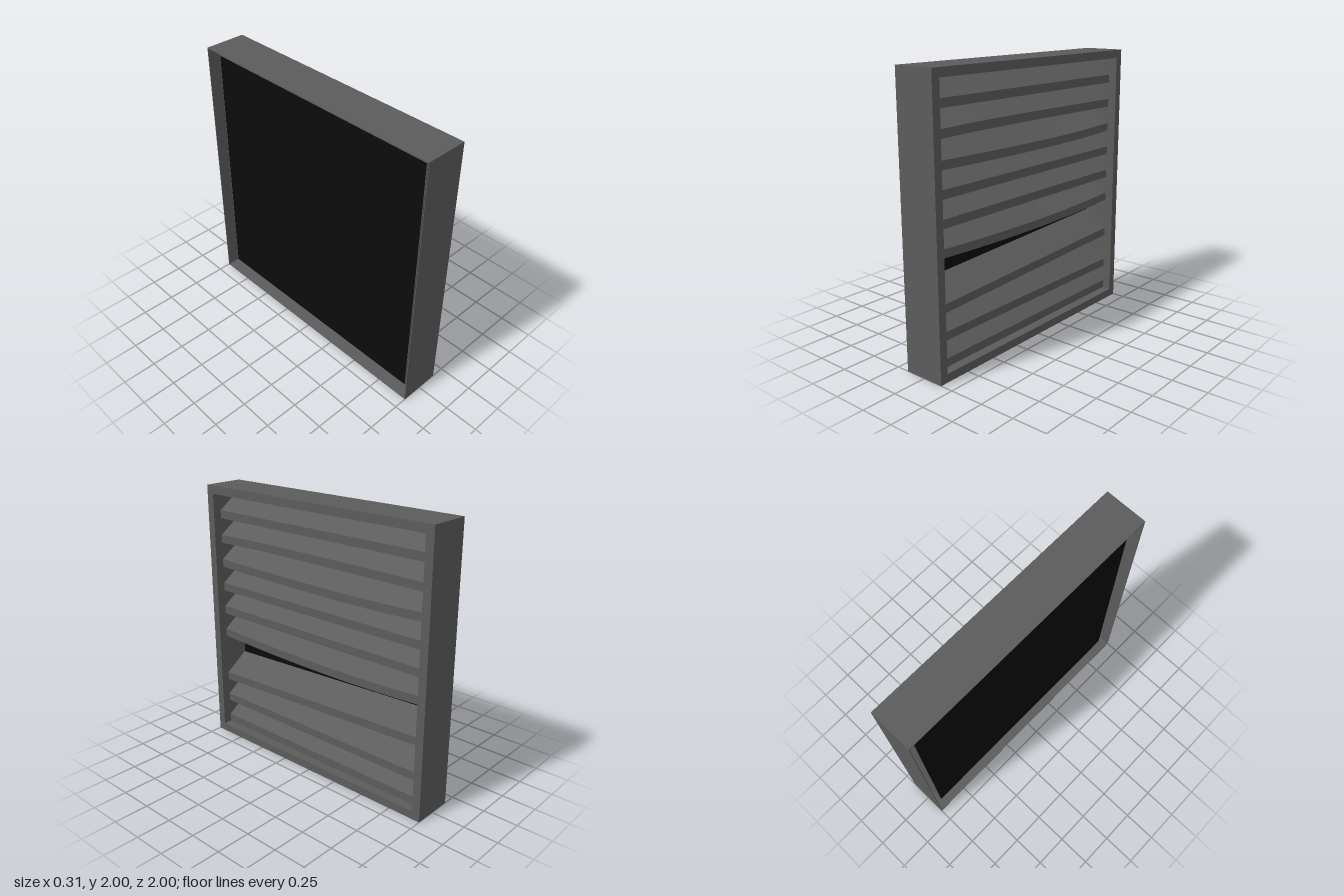
import * as THREE from 'three';

const DEPTH = 0.155;   // half depth of the frame along x
const OPEN = 0.94;     // half size of the opening
const BACK = -0.095;   // x of the backing panel
const PITCH = 0.1875;  // slat spacing

// Square ring, extruded along x from x0 to x1
function ring(outer, inner, x0, x1) {
  const square = (Type, h) => {
    const s = new Type();
    s.moveTo(-h, -h).lineTo(h, -h).lineTo(h, h).lineTo(-h, h).closePath();
    return s;
  };
  const shape = square(THREE.Shape, outer);
  shape.holes.push(square(THREE.Path, inner));
  const g = new THREE.ExtrudeGeometry(shape, { depth: x1 - x0, bevelEnabled: false });
  return g.translate(0, 0, x0).rotateY(Math.PI / 2).translate(0, 1, 0);
}

// Open slat: upright front lip and a top sloping back to the panel; offset(z) bends it
function slatGeometry(y, offset) {
  const profile = [[0.09, 0], [0.09, 0.06], [BACK + 0.003, PITCH]];
  const pos = [];
  const n = 12;
  for (let i = 0; i < n; i++) {
    const z0 = OPEN - (2 * OPEN * i) / n;
    const z1 = OPEN - (2 * OPEN * (i + 1)) / n;
    for (let k = 0; k < 2; k++) {
      const at = (p, z) => [p[0], y + p[1] + offset(z), z];
      const a = at(profile[k], z0), b = at(profile[k], z1);
      const c = at(profile[k + 1], z1), d = at(profile[k + 1], z0);
      pos.push(...a, ...b, ...c, ...a, ...c, ...d);
    }
  }
  const g = new THREE.BufferGeometry();
  g.setAttribute('position', new THREE.Float32BufferAttribute(pos, 3));
  g.computeVertexNormals();
  return g;
}

export function createModel() {
  const group = new THREE.Group();
  const metal = new THREE.MeshStandardMaterial({ color: 0x5c5c5c });
  metal.name = 'grey metal';
  const black = new THREE.MeshStandardMaterial({ color: 0x0c0c0c, side: THREE.DoubleSide });
  black.name = 'black backing';
  const add = (name, geometry, material) => {
    const mesh = new THREE.Mesh(geometry, material);
    mesh.name = name;
    group.add(mesh);
  };

  // Frame: thin outer shell open at the back, front flange, inner sleeve
  add('outerShell', ring(1, 0.995, -DEPTH, 0.15), metal);
  add('frontFlange', ring(1, OPEN, 0.15, DEPTH), metal);
  add('innerSleeve', ring(OPEN + 0.004, OPEN, BACK, 0.15), metal);

  // Backing panel
  const panel = new THREE.PlaneGeometry(2 * OPEN, 2 * OPEN);
  add('backPanel', panel.rotateY(Math.PI / 2).translate(BACK, 1, 0), black);

  // Slats: some bent, one hanging askew, one missing
  const bow = (height, centre) => (z) => {
    const t = z < centre ? (centre - z) / (centre + OPEN) : (z - centre) / (OPEN - centre);
    return height * (1 - t * t);
  };
  const bends = {
    2: (z) => (0.078 * (OPEN - z)) / (2 * OPEN),
    4: bow(-0.027, -0.1),
    7: bow(-0.018, -0.25),
    8: bow(0.009, 0.4),
  };
  for (let i = 0; i < 10; i++) {
    if (i === 3) continue;
    add('slat' + (i + 1), slatGeometry(0.0625 + i * PITCH, bends[i] || (() => 0)), metal);
  }
  return group;
}
